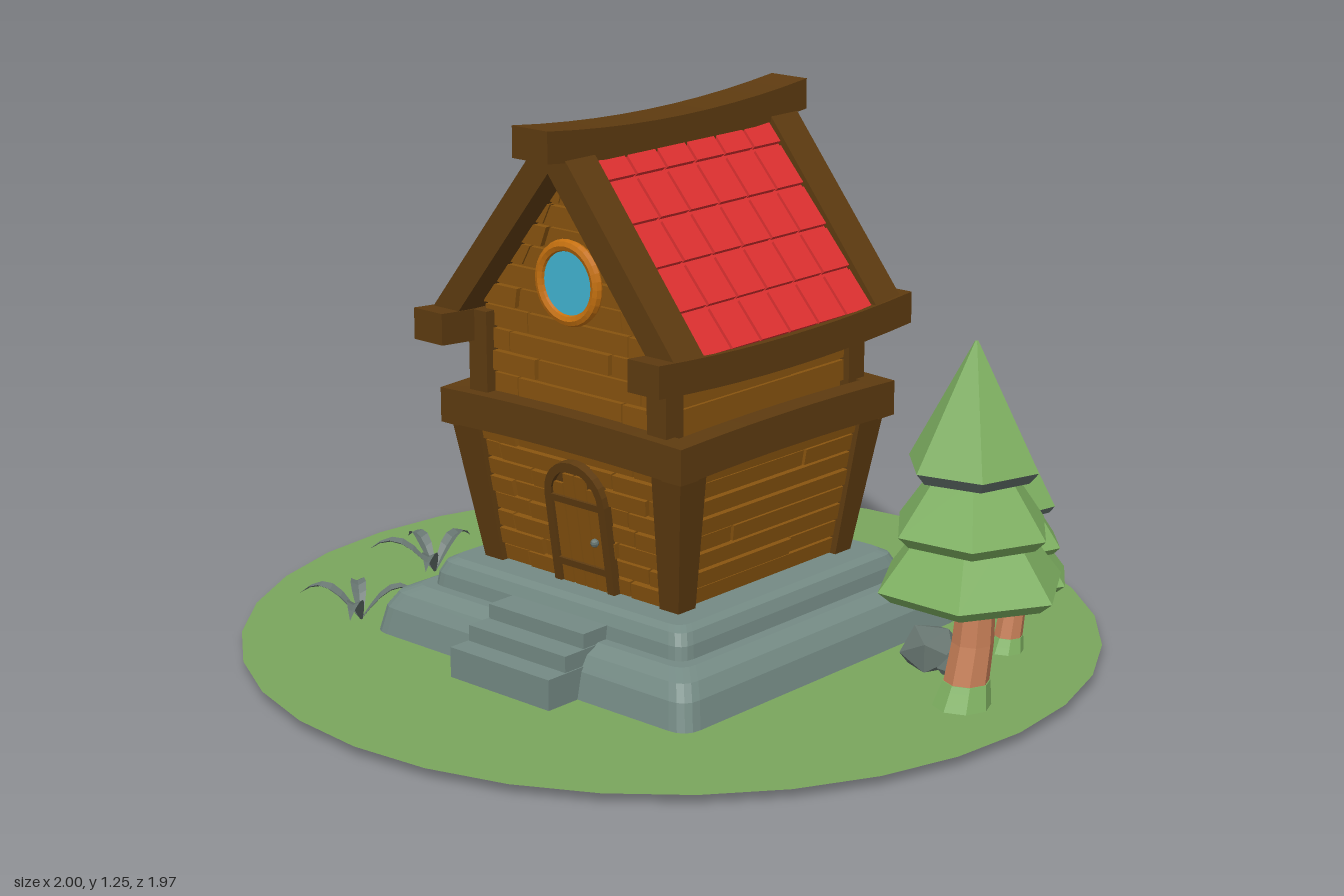
import * as THREE from 'three';
import { mergeGeometries } from 'three/addons/utils/BufferGeometryUtils.js';

const mat = (name, color, extra = {}) => {
  const m = new THREE.MeshStandardMaterial({ color, flatShading: true, ...extra });
  m.name = name;
  return m;
};
const M = {
  grass: mat('grass', 0x7aa65d, { side: THREE.DoubleSide }),
  stone: mat('stone', 0x748a84),
  slate: mat('slate', 0x66746f, { side: THREE.DoubleSide }),
  plank: mat('plank wood', 0x87530f),
  beam: mat('beam wood', 0x5e3b10),
  roof: mat('red roof', 0xe03131),
  ring: mat('orange trim', 0xc4700f),
  glass: mat('blue glass', 0x41b4d1),
  leaf: mat('pine green', 0x7fb162),
  bark: mat('bark', 0xc47d56),
};

function add(parent, name, geo, material, pos = [0, 0, 0], rot = [0, 0, 0]) {
  const mesh = new THREE.Mesh(geo, material);
  mesh.name = name;
  mesh.position.set(...pos);
  mesh.rotation.set(...rot);
  parent.add(mesh);
  return mesh;
}
function addGroup(parent, name) {
  const g = new THREE.Group();
  g.name = name;
  parent.add(g);
  return g;
}
// Moves each vertex by a rule
function bend(geo, rule) {
  const p = geo.attributes.position, v = new THREE.Vector3();
  for (let i = 0; i < p.count; i++) {
    rule(v.fromBufferAttribute(p, i));
    p.setXYZ(i, v.x, v.y, v.z);
  }
  geo.computeVertexNormals();
  return geo;
}
// Beam along z whose ends rise by sag
const beam = (len, w, h, sag) => bend(new THREE.BoxGeometry(w, h, len, 1, 1, 10), v => {
  v.y += sag * (2 * v.z / len) ** 2;
});
// Rounded square slab following a profile of [y, half width]
function slab(profile) {
  const s = new THREE.Shape(), r = 0.9;
  s.moveTo(-r, -1).lineTo(r, -1).quadraticCurveTo(1, -1, 1, -r).lineTo(1, r).quadraticCurveTo(1, 1, r, 1)
    .lineTo(-r, 1).quadraticCurveTo(-1, 1, -1, r).lineTo(-1, -r).quadraticCurveTo(-1, -1, -r, -1);
  const n = profile.length - 1;
  const geo = new THREE.ExtrudeGeometry(s, { depth: 1, steps: n, bevelEnabled: false, curveSegments: 4 });
  geo.rotateX(-Math.PI / 2);
  return bend(geo, v => {
    const [y, half] = profile[Math.round(v.y * n)];
    v.set(v.x * half, y, v.z * half);
  });
}
const extrude = (pts, depth) => new THREE.ExtrudeGeometry(
  new THREE.Shape(pts.map(p => new THREE.Vector2(...p))), { depth, bevelEnabled: false });
// Rows of boards filling a wall whose half width varies with height
function boards(half, y0, y1, rows, cuts) {
  const list = [], gap = 0.003, h = (y1 - y0) / rows;
  for (let i = 0; i < rows; i++) {
    const a = y0 + i * h + gap, b = y0 + (i + 1) * h - gap;
    const f = [-1, ...cuts[i % cuts.length], 1];
    for (let j = 0; j < f.length - 1; j++) {
      const l = f[j], r = f[j + 1];
      list.push(extrude([[l * half(a) + gap, a], [r * half(a) - gap, a],
        [r * half(b) - gap, b], [l * half(b) + gap, b]], 0.012 + 0.003 * ((i * 2 + j) % 3)));
    }
  }
  return mergeGeometries(list);
}
const brickCuts = [[-0.62, 0.55], [-0.4, 0.75], [-0.7, 0.42], [-0.5, 0.62]];
const longCuts = [[], [0.3], [], [-0.45], []];

function arch(w, h) {
  return [[-w, 0], [w, 0], ...Array.from({ length: 13 }, (_, i) => {
    const a = i * Math.PI / 12;
    return [w * Math.cos(a), h - w + w * Math.sin(a)];
  })];
}
function buildDoor(parent) {
  const door = addGroup(parent, 'door');
  door.position.set(0.022, -0.005, 0.012);
  const frame = new THREE.Shape(arch(0.09, 0.31).map(p => new THREE.Vector2(...p)));
  frame.holes.push(new THREE.Path(arch(0.07, 0.29).map(p => new THREE.Vector2(...p))));
  add(door, 'doorFrame', new THREE.ExtrudeGeometry(frame, { depth: 0.022, bevelEnabled: false }), M.beam);
  add(door, 'doorPanel', extrude(arch(0.07, 0.29), 0.009), M.beam);
  for (let i = 0; i < 4; i++) {
    const x = -0.0525 + i * 0.035, h = i % 3 ? 0.277 : 0.252;
    add(door, 'doorBoard', new THREE.BoxGeometry(0.03, h, 0.012), M.plank, [x, h / 2, 0.01]);
  }
  for (const y of [0.06, 0.215]) add(door, 'doorBand', new THREE.BoxGeometry(0.14, 0.016, 0.008), M.beam, [0, y, 0.018]);
  add(door, 'doorHandle', new THREE.SphereGeometry(0.01, 8, 6), M.slate, [0.05, 0.13, 0.023]);
}

function buildHouse(root) {
  const house = addGroup(root, 'house');
  house.position.x = -0.017;
  // Stone base and steps
  add(house, 'lowerBase', slab([[0.022, 0.482], [0.085, 0.468], [0.118, 0.447], [0.135, 0.41]]), M.stone);
  add(house, 'upperBase', slab([[0.13, 0.385], [0.165, 0.38], [0.19, 0.368], [0.2, 0.35]]), M.stone);
  [[0.095, 0.57], [0.132, 0.515], [0.166, 0.455]].forEach(([top, z], i) =>
    add(house, 'step', new THREE.BoxGeometry(0.3 - i * 0.006, top - 0.023, z - 0.3), M.stone,
      [0.019, (top + 0.023) / 2, (z + 0.3) / 2]));

  // Lower storey, leaning outwards
  add(house, 'lowerCore', new THREE.CylinderGeometry(0.32 * Math.SQRT2, 0.27 * Math.SQRT2, 0.36, 4)
    .rotateY(Math.PI / 4), M.plank, [0, 0.378, 0]);
  for (let i = 0; i < 4; i++) {
    const side = addGroup(house, 'lowerSide');
    side.rotation.y = i * Math.PI / 2;
    const wall = addGroup(side, 'lowerWall');
    wall.position.set(0, 0.2, 0.268);
    wall.rotation.x = 0.15;
    add(wall, 'lowerBoards', boards(y => 0.265 + 0.15 * y, 0, 0.34, 8, i ? longCuts : brickCuts), M.plank);
    if (i === 0) buildDoor(wall);
    add(side, 'lowerPost', bend(new THREE.BoxGeometry(1, 0.34, 1), v => {
      const t = v.y / 0.34 + 0.5, w = 0.055 + 0.03 * t, c = 0.268 + 0.037 * t;
      v.x = v.x * w + c;
      v.z = v.z * w + c;
    }), M.beam, [0, 0.368, 0]);
    add(side, 'beltBeam', beam(0.725, 0.055, 0.08, -0.008), M.beam, [0, 0.568, 0.335], [0, Math.PI / 2, 0]);
  }

  // Upper storey and gables
  const half = y => Math.min(0.27, Math.max(0.004, (1.175 - y) / 1.25));
  add(house, 'upperCore', extrude([[-0.27, 0.54], [0.27, 0.54], [0.27, 0.84], [0, 1.18], [-0.27, 0.84]], 0.6),
    M.plank, [0, 0, -0.3]);
  for (const s of [1, -1]) {
    const gable = addGroup(house, s > 0 ? 'frontGable' : 'backGable');
    gable.rotation.y = s > 0 ? 0 : Math.PI;
    add(gable, 'gableBoards', boards(half, 0.6, 1.16, 11, s > 0 ? brickCuts : longCuts), M.plank, [0, 0, 0.298]);
    add(gable, 'windowRing', new THREE.TorusGeometry(0.083, 0.014, 8, 32), M.ring, [0, 0.893, 0.32]);
    add(gable, 'windowGlass', new THREE.CylinderGeometry(0.078, 0.078, 0.008, 32), M.glass,
      [0, 0.893, 0.32], [Math.PI / 2, 0, 0]);
    const side = addGroup(house, 'upperSide');
    side.rotation.y = s * Math.PI / 2;
    add(side, 'upperBoards', boards(() => 0.3, 0.6, 0.76, 3, longCuts), M.plank, [0, 0, 0.268]);
    for (const z of [-0.308, 0.308])
      add(house, 'upperPost', new THREE.BoxGeometry(0.055, 0.22, 0.055), M.beam, [s * 0.268, 0.68, z]);
  }

  // Roof slopes with tiles, rake beams and eaves
  const slope = Math.atan2(0.425, 0.34), len = 0.544;
  for (const s of [1, -1]) {
    const side = addGroup(house, s > 0 ? 'leftRoof' : 'rightRoof');
    side.position.set(s * 0.17, 0.98, 0);
    side.rotation.z = -s * slope;
    add(side, 'roofSlab', new THREE.BoxGeometry(len, 0.022, 0.6), M.roof);
    const rows = 5, cols = 6, tiles = [];
    for (let r = 0; r < rows; r++) for (let c = 0; c < cols; c++)
      tiles.push(new THREE.BoxGeometry(len / rows - 0.008, 0.012, 0.58 / cols - 0.008)
        .rotateZ(s * 0.05)
        .translate((r + 0.5 - rows / 2) * len / rows, 0.015, (c + 0.5 - cols / 2) * 0.58 / cols));
    add(side, 'roofTiles', mergeGeometries(tiles), M.roof);
    for (const z of [-0.336, 0.336])
      add(side, 'rakeBeam', new THREE.BoxGeometry(len, 0.062, 0.092), M.beam, [0, 0, z]);
    add(house, 'eaveBeam', beam(0.85, 0.088, 0.072, 0.018), M.beam, [s * 0.322, 0.744, 0.01]);
  }
  add(house, 'ridgeBeam', beam(0.85, 0.104, 0.07, 0.025), M.beam, [0, 1.188, 0.01]);
}

function buildTree(root, x, z, scale, turn) {
  const tree = addGroup(root, 'pineTree');
  tree.position.set(x, 0.022, z);
  tree.scale.setScalar(scale);
  // Bent trunk with a mossy foot
  const curve = y => -0.045 * Math.sin(Math.min(1, y / 0.24) * Math.PI / 2);
  const trunk = (r1, r0, y0, y1) => bend(new THREE.CylinderGeometry(r1, r0, y1 - y0, 8, 4)
    .translate(0, (y0 + y1) / 2, 0), v => { v.z += curve(v.y) + 0.02; });
  add(tree, 'trunkFoot', trunk(0.052, 0.065, 0, 0.055), M.leaf);
  add(tree, 'trunk', trunk(0.034, 0.05, 0.05, 0.4), M.bark);
  // Hexagonal tiers: [base height, top height, base radius, top radius]
  [[0.25, 0.42, 0.212, 0.1], [0.375, 0.53, 0.178, 0.085], [0.515, 0.808, 0.148, 0.004]].forEach(([y0, y1, r0, r1], i) => {
    const lip = 0.025, a = turn + i * 0.12;
    add(tree, 'branchTier', new THREE.CylinderGeometry(r1, r0, y1 - y0 - lip, 6), M.leaf, [0, (y0 + lip + y1) / 2, 0], [0, a, 0]);
    add(tree, 'branchLip', new THREE.CylinderGeometry(r0, r0 * 0.86, lip, 6), i === 2 ? M.slate : M.leaf,
      [0, y0 + lip / 2, 0], [0, a, 0]);
  });
}

function buildPlant(root, x, z, angles) {
  const plant = addGroup(root, 'grassPlant');
  plant.position.set(x, 0.025, z);
  for (const [angle, length] of angles) {
    // Arching leaf, widest in the middle
    const leaf = bend(new THREE.PlaneGeometry(1, 1, 6, 2).rotateX(-Math.PI / 2), v => {
      const t = v.x + 0.5, w = 0.036 * Math.sin(Math.PI * (0.06 + 0.94 * t));
      const fold = Math.abs(v.z) * w * 0.5;
      v.set(t * length, 0.072 * Math.sin(t * 2.35) + fold, v.z * w);
    });
    add(plant, 'leafBlade', leaf, M.slate, [0, 0, 0], [0, angle, 0]);
  }
}

export function createModel() {
  const root = new THREE.Group();
  root.name = 'forestCottage';
  add(root, 'ground', new THREE.CircleGeometry(0.985, 32), M.grass, [-0.013, 0.025, -0.005], [-Math.PI / 2, 0, 0]);
  buildHouse(root);
  buildTree(root, 0.785, -0.07, 1, Math.PI / 6);
  buildTree(root, 0.66, -0.395, 0.65, Math.PI / 6 + 0.1);
  // Rocks
  for (const [x, z, r, h, turn] of [[0.585, -0.205, 0.074, 0.054, 0.4], [0.665, -0.2, 0.05, 0.036, 1.5]])
    add(root, 'rock', new THREE.IcosahedronGeometry(1, 0).scale(r, h / 0.86, r), M.slate, [x, h + 0.002, z], [0, turn, 0]);
  buildPlant(root, -0.68, 0.11, [[1.75, 0.15], [2.85, 0.14], [3.75, 0.16], [-0.9, 0.15]]);
  buildPlant(root, -0.565, 0.455, [[0.9, 0.14], [2.5, 0.1], [3.6, 0.15], [-0.9, 0.15]]);
  return root;
}
